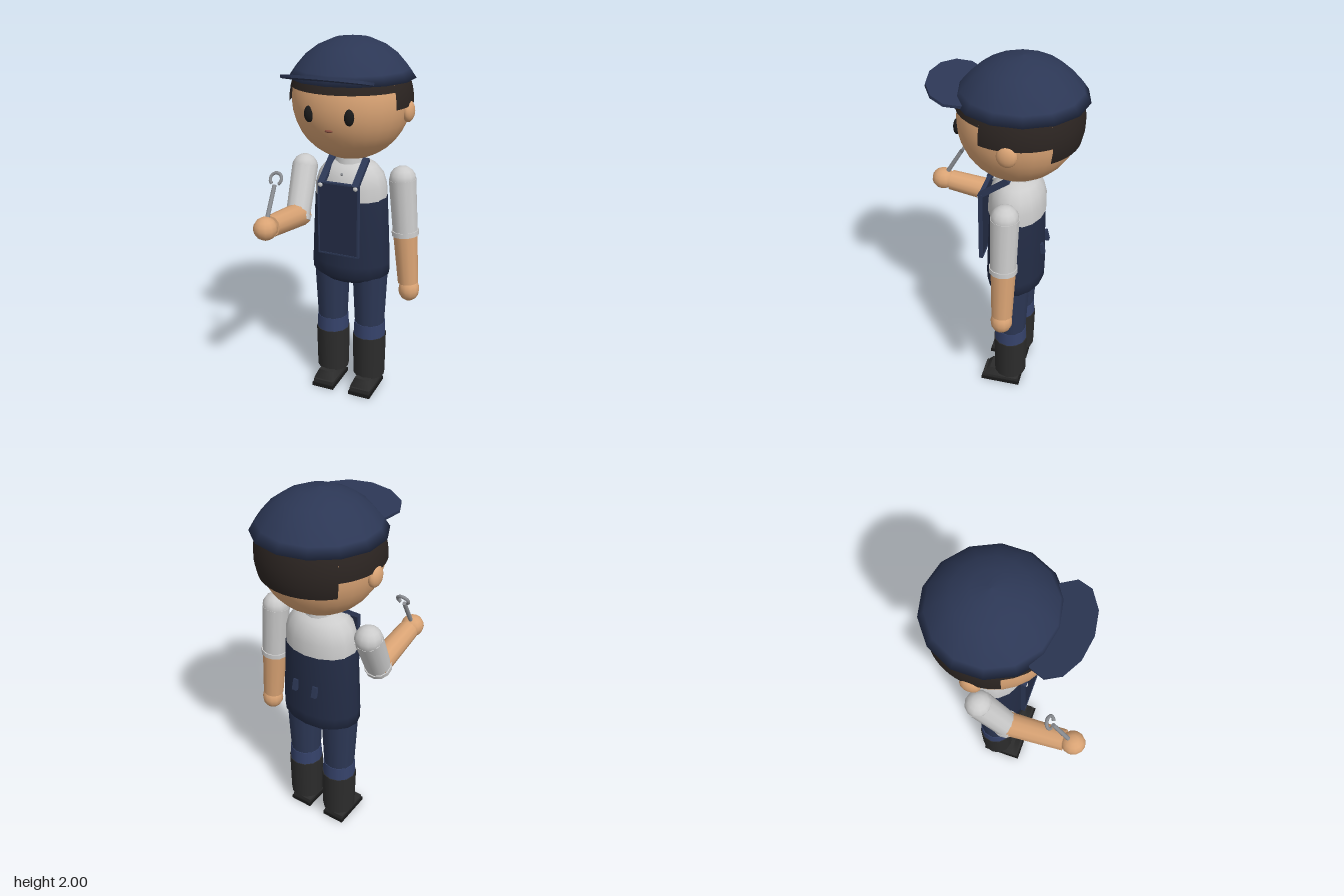
import * as THREE from 'three';

const mat = (color) => new THREE.MeshStandardMaterial({ color, side: THREE.DoubleSide });
const V = (x, y, z) => new THREE.Vector3(x, y, z);

export function createModel() {
  const root = new THREE.Group();
  const figure = new THREE.Group();
  figure.name = 'worker';
  figure.position.set(-0.025, 0, -0.11); // centre line of the body
  root.add(figure);

  const skin = mat(0xd9a374), navy = mat(0x2c3755), darkNavy = mat(0x232c45), shirt = mat(0xcccccc);
  const hairMat = mat(0x2b2421), boot = mat(0x2c2c2c), black = mat(0x1a1a1a), metal = mat(0x8c8f94);

  const add = (name, geo, material, x = 0, y = 0, z = 0) => {
    const m = new THREE.Mesh(geo, material);
    m.name = name;
    m.position.set(x, y, z);
    figure.add(m);
    return m;
  };
  const ball = (name, material, p, rx, ry, rz, w = 14, h = 10) => {
    const m = add(name, new THREE.SphereGeometry(1, w, h), material, ...p);
    m.scale.set(rx, ry, rz);
    return m;
  };
  // Tapered limb between two points
  const limb = (name, material, a, b, ra, rb, seg = 12) => {
    const d = b.clone().sub(a);
    const m = add(name, new THREE.CylinderGeometry(rb, ra, d.length(), seg), material);
    m.position.copy(a).addScaledVector(d, 0.5);
    m.quaternion.setFromUnitVectors(V(0, 1, 0), d.normalize());
    return m;
  };
  const lathe = (name, material, pts, seg, sz = 1) => {
    const m = add(name, new THREE.LatheGeometry(pts.map((p) => new THREE.Vector2(...p)), seg), material);
    m.scale.z = sz;
    return m;
  };

  // Head and face
  const headY = 1.685;
  ball('head', skin, [0, headY, 0], 0.306, 0.308, 0.302, 28, 18);
  for (const s of [-1, 1]) {
    ball('ear', skin, [s * 0.305, 1.645, -0.01], 0.03, 0.055, 0.05);
    ball('eye', black, [s * 0.106, 1.655, 0.279], 0.026, 0.041, 0.018);
  }
  ball('mouth', mat(0x8a5040), [0, 1.58, 0.282], 0.021, 0.008, 0.012);

  // Hair: bands of a sphere hanging to different heights (angles in degrees)
  const hair = (name, from, to, bottom) => {
    const r = 0.317, t0 = Math.acos((1.83 - headY) / r), t1 = Math.acos((bottom - headY) / r);
    const rad = THREE.MathUtils.degToRad;
    add(name, new THREE.SphereGeometry(r, 12, 4, rad(from), rad(to - from), t0, t1 - t0), hairMat, 0, headY, 0);
  };
  hair('hairFront', 24, 156, 1.76);
  hair('hairRight', -41, 24, 1.675);
  hair('hairLeft', 156, 221, 1.675);
  hair('hairBack', 221, 319, 1.59);

  // Cap and its tilted visor
  const cap = lathe('cap', navy, [[0.26, 1.805], [0.325, 1.8], [0.293, 1.845], [0.24, 1.905],
    [0.175, 1.952], [0.09, 1.988], [0, 2]], 14);
  cap.rotation.y = Math.PI;
  cap.position.z = -0.01;
  const visor = add('capVisor', new THREE.CylinderGeometry(0.24, 0.24, 0.014, 12), navy, 0, 1.828, 0.3);
  visor.rotation.x = -0.25;
  visor.scale.z = 0.61;

  // Torso, shirt and collar
  lathe('shirt', shirt, [[0.2, 1.17], [0.197, 1.24], [0.178, 1.3], [0.14, 1.345], [0.08, 1.375], [0, 1.385]], 16, 0.75);
  add('collar', new THREE.CylinderGeometry(0.08, 0.09, 0.07, 14), shirt, 0, 1.375, 0);
  lathe('overalls', darkNavy, [[0, 0.69], [0.16, 0.692], [0.222, 0.735], [0.222, 0.8], [0.215, 0.95],
    [0.203, 1.175], [0.19, 1.178]], 16, 0.7);

  // Bib, straps, buttons and rear strap ends
  add('bib', new THREE.BoxGeometry(0.225, 0.4, 0.014), darkNavy, 0, 1.08, 0.17);
  for (const s of [-1, 1]) {
    add('bibHem', new THREE.BoxGeometry(0.008, 0.4, 0.022), navy, s * 0.111, 1.08, 0.17);
    add('bibHem', new THREE.BoxGeometry(0.23, 0.008, 0.022), navy, 0, 1.08 + s * 0.197, 0.17);
    const strap = add('strap', new THREE.BoxGeometry(0.036, 0.19, 0.022), navy, s * 0.095, 1.325, 0.102);
    strap.rotation.x = -0.94;
    ball('strapButton', shirt, [s * 0.098, 1.265, 0.182], 0.013, 0.013, 0.008, 10, 6);
    const tail = add('rearStrapEnd', new THREE.BoxGeometry(0.026, 0.06, 0.02), navy, s * 0.06, 0.965, -0.15);
    tail.rotation.x = 0.25;
  }
  ball('shirtButton', metal, [0, 1.315, 0.128], 0.008, 0.008, 0.008, 8, 6);

  // Arms: one hanging, one bent forward
  const arm = (side, shoulder, elbow, foreStart, wrist, hand, handSize) => {
    ball(side + 'Shoulder', shirt, shoulder.toArray(), 0.071, 0.071, 0.071, 12, 8);
    limb(side + 'Sleeve', shirt, shoulder, elbow, 0.072, 0.067);
    const dir = elbow.clone().sub(shoulder).normalize();
    limb(side + 'Cuff', shirt, elbow.clone().addScaledVector(dir, -0.022), elbow.clone().addScaledVector(dir, 0.005), 0.073, 0.073);
    limb(side + 'Forearm', skin, foreStart, wrist, 0.066, 0.056);
    ball(side + 'Hand', skin, hand, ...handSize, 12, 8);
  };
  arm('left', V(0.287, 1.29, 0), V(0.312, 0.99, 0), V(0.31, 1.01, 0), V(0.336, 0.71, 0),
    [0.342, 0.667, 0], [0.058, 0.067, 0.058]);
  arm('right', V(-0.276, 1.29, 0), V(-0.26, 1.04, 0.135), V(-0.259, 1.05, 0.1), V(-0.258, 1.1, 0.44),
    [-0.258, 1.106, 0.485], [0.062, 0.06, 0.064]);

  // Wrench held in the right hand: shaft and open jaw
  const grip = V(-0.26, 1.1, 0.49), neck = V(-0.26, 1.3, 0.372);
  limb('wrenchShaft', metal, grip, neck, 0.012, 0.011, 8);
  const gap = 1.3;
  const jaw = add('wrenchJaw', new THREE.TorusGeometry(0.031, 0.009, 6, 16, Math.PI * 2 - gap), metal, -0.26, 1.327, 0.356);
  jaw.rotation.set(-0.53, 0, -Math.PI / 2 + gap / 2);

  // Legs, knee bands, boots and shoes
  for (const s of [-1, 1]) {
    const x = s * 0.114;
    limb('trouserLeg', navy, V(x, 0.38, 0), V(x, 0.76, 0), 0.083, 0.1, 12);
    add('kneeBand', new THREE.CylinderGeometry(0.088, 0.092, 0.085, 12), mat(0x35426a), x, 0.38, 0);
    add('bootShaft', new THREE.CylinderGeometry(0.096, 0.092, 0.26, 12), boot, x, 0.212, 0);
    add('shoeSole', new THREE.BoxGeometry(0.13, 0.022, 0.225), black, x, 0.011, 0.047);
    add('shoeWelt', new THREE.BoxGeometry(0.118, 0.022, 0.21), boot, x, 0.033, 0.047);
    const upper = add('shoeUpper', new THREE.CylinderGeometry(0.062, 0.088, 0.046, 4, 1), boot, x, 0.066, 0.045);
    upper.geometry.rotateY(Math.PI / 4);
    upper.scale.z = 1.55;
  }
  return root;
}
